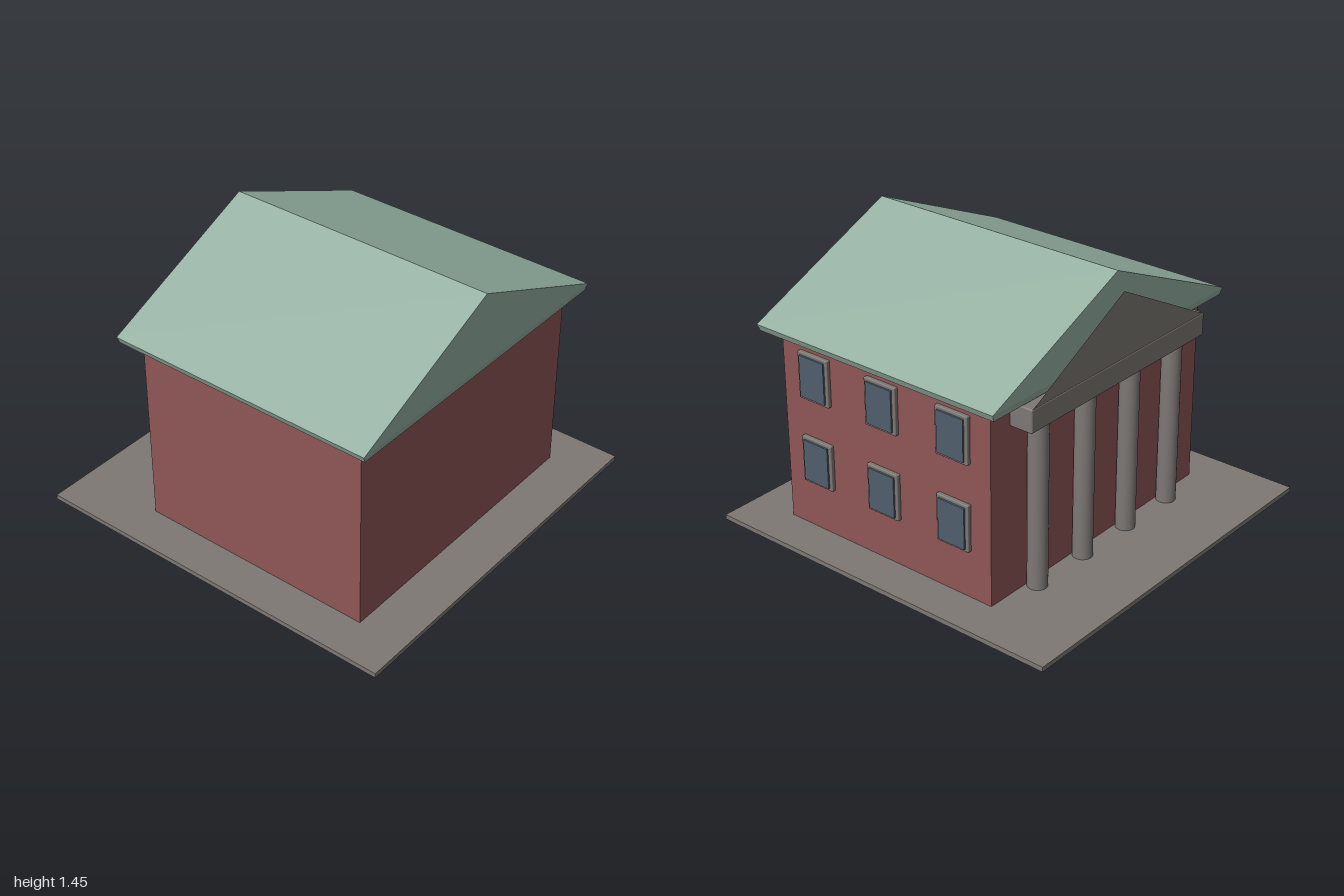
import * as THREE from 'three';
import { RoundedBoxGeometry } from 'three/addons/geometries/RoundedBoxGeometry.js';

function material(name, color, options = {}) {
  const m = new THREE.MeshStandardMaterial({ color, ...options });
  m.name = name;
  return m;
}

export function createModel() {
  const model = new THREE.Group();
  model.name = 'house';

  const brick = material('brick red', 0x8f5555);
  const stone = material('stone grey', 0x7d7874);
  const pedimentStone = material('pediment stone', 0x7d7874, { side: THREE.DoubleSide });
  const roofGreen = material('copper green', 0x94b0a1);
  const glassBlue = material('window glass', 0x505e6d);

  const add = (name, geometry, mat, x, y, z, parent = model) => {
    const mesh = new THREE.Mesh(geometry, mat);
    mesh.name = name;
    mesh.position.set(x, y, z);
    parent.add(mesh);
    return mesh;
  };

  // Ground slab and brick body
  add('baseSlab', new THREE.BoxGeometry(2, 0.025, 2), stone, 0, 0.0125, 0);
  add('walls', new THREE.BoxGeometry(1.57, 1.028, 1.275), brick, 0, 0.516, 0.1075);

  // Eave band, narrower along its underside
  const eave = new THREE.BoxGeometry(1.74, 0.035, 1.44);
  const p = eave.attributes.position;
  for (let i = 0; i < p.count; i++) {
    if (p.getY(i) < 0) {
      p.setX(i, p.getX(i) * 0.983);
      p.setZ(i, p.getZ(i) * 0.99);
    }
  }
  eave.computeVertexNormals();
  add('eaveBand', eave, roofGreen, 0, 1.0475, 0.105);

  // Gable roof
  const triangle = (halfWidth, height) => new THREE.Shape([
    new THREE.Vector2(-halfWidth, 0),
    new THREE.Vector2(halfWidth, 0),
    new THREE.Vector2(0, height),
  ]);
  const gable = new THREE.ExtrudeGeometry(triangle(0.87, 0.38), { depth: 1.44, bevelEnabled: false });
  add('gableRoof', gable, roofGreen, 0, 1.065, -0.615);

  // Portico at the back: columns, entablature and flat pediment face
  const portico = new THREE.Group();
  portico.name = 'portico';
  model.add(portico);
  const columnGeometry = new THREE.CylinderGeometry(0.05, 0.05, 0.88, 24);
  for (const x of [-0.51, -0.17, 0.17, 0.51]) {
    add('column', columnGeometry, stone, x, 0.465, -0.576, portico);
  }
  add('entablature', new RoundedBoxGeometry(1.31, 0.12, 0.127, 2, 0.008), stone, 0, 0.96, -0.5915, portico);
  const pediment = add('pediment', new THREE.ShapeGeometry(triangle(0.65, 0.34)), pedimentStone, 0, 1.015, -0.653, portico);
  pediment.rotation.y = Math.PI;

  // Two rows of three windows on the left wall
  const frameGeometry = new RoundedBoxGeometry(0.03, 0.245, 0.19, 2, 0.005);
  const paneGeometry = new THREE.BoxGeometry(0.009, 0.214, 0.156);
  for (const y of [0.395, 0.843]) {
    for (const z of [0.535, 0.11, -0.318]) {
      const window = new THREE.Group();
      window.name = 'window';
      window.position.set(0.785, y, z);
      model.add(window);
      add('windowFrame', frameGeometry, stone, 0.006, 0, 0, window);
      add('windowPane', paneGeometry, glassBlue, 0.0255, 0, 0, window);
    }
  }

  return model;
}
